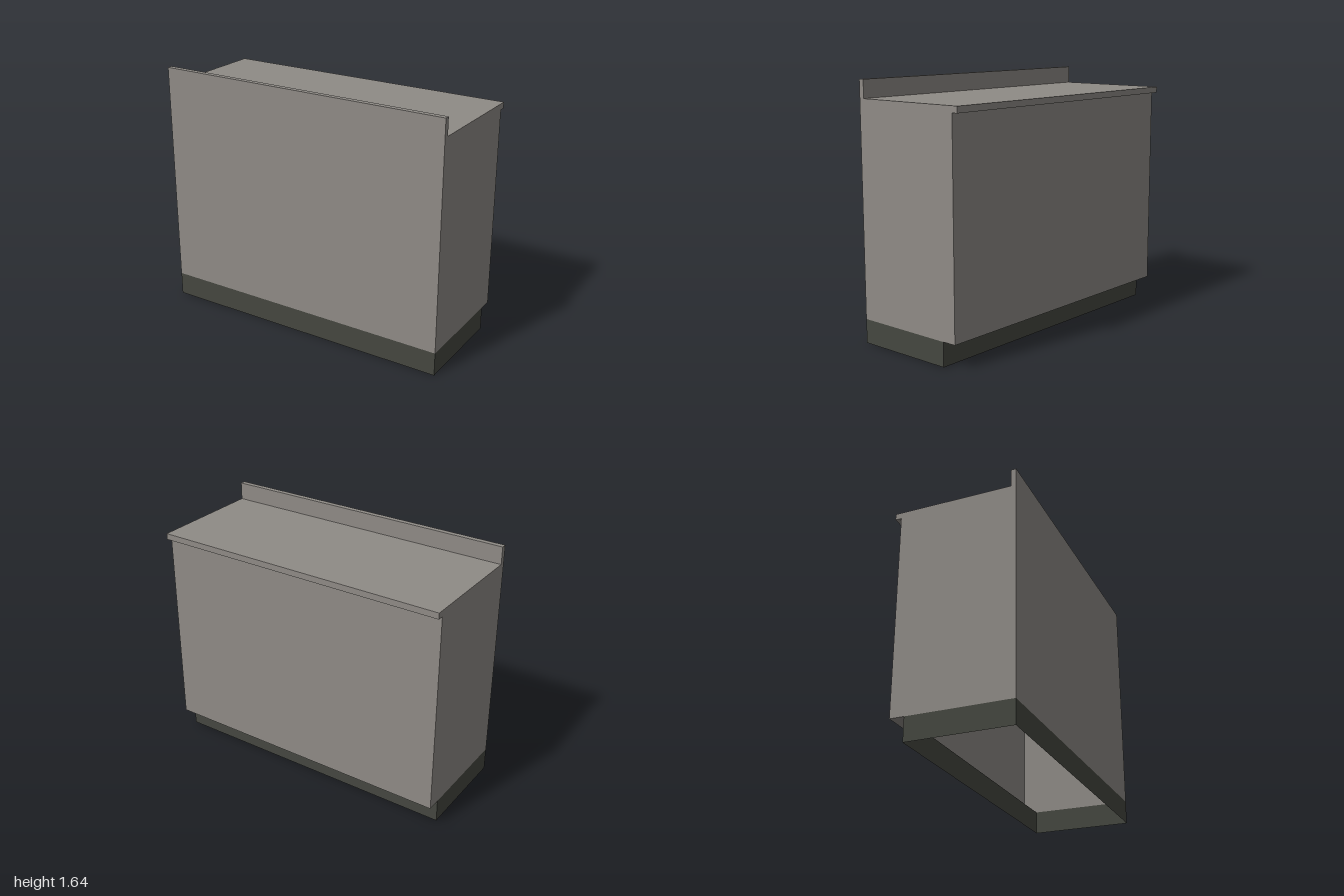
import * as THREE from 'three';

const HALF = 1;          // half length of the counter
const FRONT = 0.405;     // flush customer side
const KICK_TOP = 0.155;
const TOP_UNDER = 1.49, TOP_UPPER = 1.53;

function named(geometry, material, name) {
  const mesh = new THREE.Mesh(geometry, material);
  mesh.name = name;
  return mesh;
}

// Solid bar along the full length, between two heights and two depths
function bar(y0, y1, z0, z1, material, name) {
  const mesh = named(new THREE.BoxGeometry(2 * HALF, y1 - y0, z1 - z0), material, name);
  mesh.position.set(0, (y0 + y1) / 2, (z0 + z1) / 2);
  return mesh;
}

// Thin sheet spanning the full length, or depth, facing out
function sheet(width, height, position, rotation, material, name) {
  const mesh = named(new THREE.PlaneGeometry(width, height), material, name);
  mesh.position.set(...position);
  mesh.rotation.set(...rotation);
  return mesh;
}

// Four upright sheets, open above and below
function openBox(y0, y1, zBack, material, name) {
  const group = new THREE.Group();
  group.name = name;
  const h = y1 - y0, y = (y0 + y1) / 2;
  const depth = FRONT - zBack, z = (FRONT + zBack) / 2;
  group.add(
    sheet(2 * HALF, h, [0, y, FRONT], [0, 0, 0], material, name + 'Front'),
    sheet(2 * HALF, h, [0, y, zBack], [0, Math.PI, 0], material, name + 'Back'),
  );
  for (const s of [-1, 1]) {
    group.add(sheet(depth, h, [s * HALF, y, z], [0, s * Math.PI / 2, 0], material, name + (s > 0 ? 'LeftEnd' : 'RightEnd')));
  }
  return group;
}

export function createModel() {
  const panel = new THREE.MeshStandardMaterial({ color: 0x8f8b86, side: THREE.DoubleSide });
  panel.name = 'warm grey panel';
  const plinth = new THREE.MeshStandardMaterial({ color: 0x454740, side: THREE.DoubleSide });
  plinth.name = 'dark plinth';

  const model = new THREE.Group();
  model.name = 'serviceCounter';

  // Recessed base and hollow cabinet
  model.add(openBox(0, KICK_TOP, -0.272, plinth, 'plinth'));
  model.add(openBox(KICK_TOP, TOP_UNDER, -0.365, panel, 'cabinet'));

  // Underside over the toe space
  model.add(sheet(2 * HALF, 0.093, [0, KICK_TOP, -0.3185], [Math.PI / 2, 0, 0], panel, 'toeSpaceSoffit'));

  // Overhanging worktop and the raised lip along the front
  model.add(bar(TOP_UNDER, TOP_UPPER, -0.405, FRONT, panel, 'worktop'));
  model.add(bar(TOP_UPPER, 1.645, 0.37, FRONT, panel, 'frontLip'));

  return model;
}
